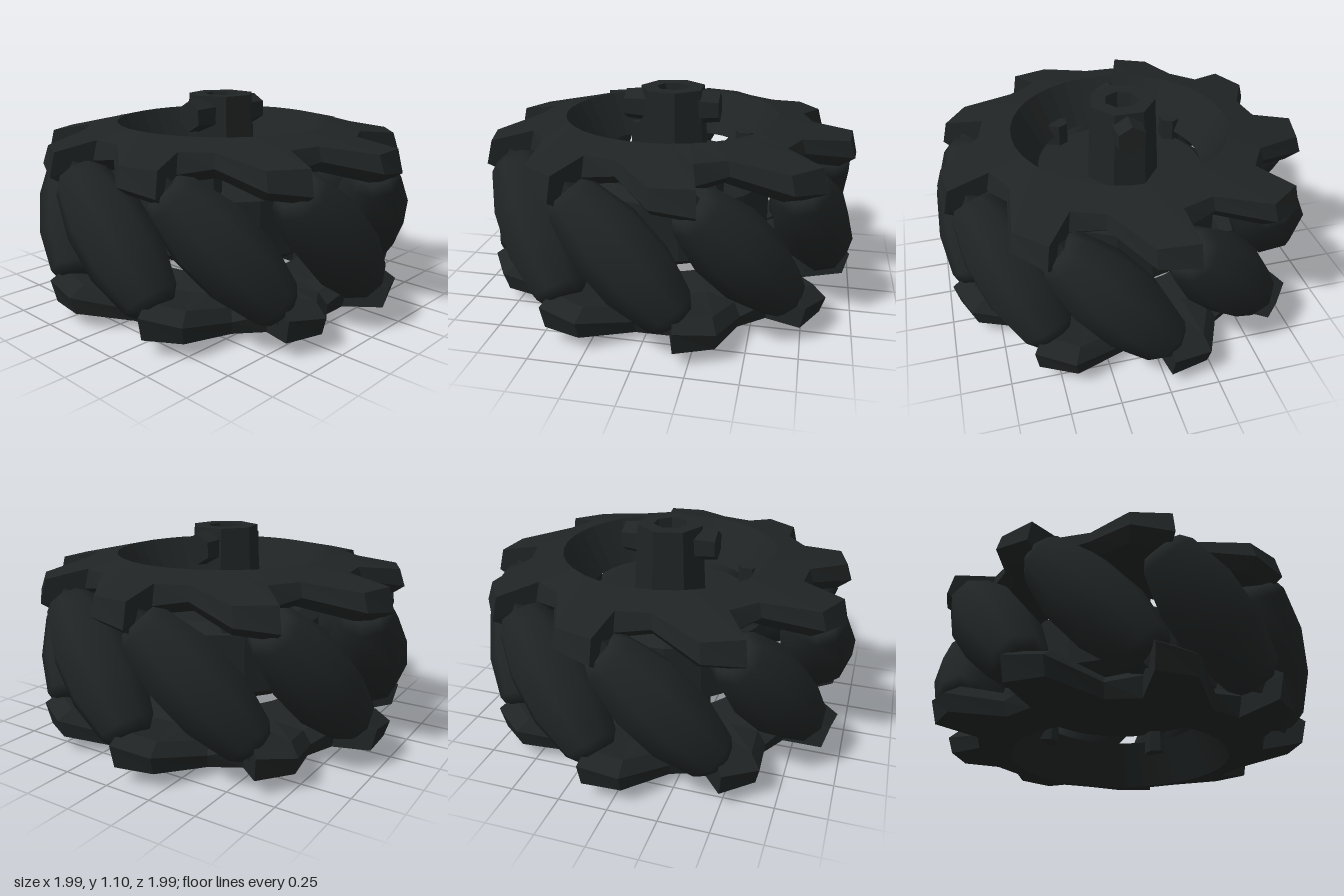
import * as THREE from 'three';

const COUNT = 9, STEP = (Math.PI * 2) / COUNT, DEG = Math.PI / 180;
const HEIGHT = 0.96;

const flat = new THREE.MeshStandardMaterial({ color: 0x202424, flatShading: true });
const smooth = new THREE.MeshStandardMaterial({ color: 0x202424 });

function part(name, geometry, material, parent) {
  const mesh = new THREE.Mesh(geometry, material);
  mesh.name = name;
  parent.add(mesh);
  return mesh;
}

function lathe(points, sides) {
  return new THREE.LatheGeometry(points.map(([r, y]) => new THREE.Vector2(r, y)), sides);
}

// Ring with a dished opening and nine swept tabs, lofted through radial cross-sections
function plateGeometry() {
  // per tab: inner angle, outer angle (degrees), outer radius, outer bottom, outer top
  const columns = [
    [-44, -43, 0.76, 0.82, 0.92],
    [-34, -29, 0.97, 0.76, 0.88],
    [-25, -17, 0.99, 0.73, 0.88],
    [-15, -16, 0.77, 0.79, 0.92],
  ];
  const pos = [], index = [];
  for (let i = 0; i < COUNT; i++) {
    for (const [inner, outer, r, low, high] of columns) {
      const a = inner * DEG + i * STEP, b = outer * DEG + i * STEP;
      const section = [
        [0.44, 0.73, a], [0.6, 0.77, a], [r * 0.92, low - 0.02, b],
        [r, low + 0.03, b], [r * 0.97, high, b], [0.57, 0.96, a],
      ];
      for (const [rad, y, t] of section) pos.push(rad * Math.sin(t), y, rad * Math.cos(t));
    }
  }
  const n = 6, total = COUNT * columns.length;
  for (let i = 0; i < total; i++) {
    for (let j = 0; j < n; j++) {
      const a = i * n + j, d = i * n + (j + 1) % n;
      const k = ((i + 1) % total) * n;
      const b = k + j, c = k + (j + 1) % n;
      index.push(a, b, d, c, d, b);
    }
  }
  const g = new THREE.BufferGeometry();
  g.setAttribute('position', new THREE.Float32BufferAttribute(pos, 3));
  g.setIndex(index);
  g.computeVertexNormals();
  return g;
}

export function createModel() {
  const model = new THREE.Group();
  model.name = 'rollerWheel';
  const wheel = new THREE.Group();
  wheel.name = 'wheel';
  wheel.rotation.y = 4 * DEG;
  model.add(wheel);

  // Upper and lower tabbed plates, the lower one turned over
  const plate = plateGeometry();
  part('upperPlate', plate, flat, wheel);
  const lower = part('lowerPlate', plate, flat, wheel);
  lower.rotation.z = Math.PI;
  lower.position.y = HEIGHT;

  // Core disc held between the plates
  part('core', lathe([
    [0, 0.28], [0.46, 0.28], [0.53, 0.33], [0.53, 0.63], [0.46, 0.68], [0, 0.68],
  ], 18), flat, wheel);

  // Barrel rollers, each with a pin reaching into the tabs
  const barrel = lathe([
    [0, -0.39], [0.1, -0.39], [0.14, -0.34], [0.195, -0.12],
    [0.195, 0.12], [0.14, 0.34], [0.1, 0.39], [0, 0.39],
  ], 8);
  const pin = new THREE.CylinderGeometry(0.065, 0.065, 0.92, 6);
  for (let i = 0; i < COUNT; i++) {
    const arm = new THREE.Group();
    arm.name = 'rollerUnit';
    arm.rotation.y = i * STEP;
    const tilt = new THREE.Group();
    tilt.name = 'rollerAxis';
    tilt.position.set(0, HEIGHT / 2, 0.805);
    tilt.rotation.z = 43 * DEG;
    part('roller', barrel, smooth, tilt);
    part('rollerPin', pin, flat, tilt);
    arm.add(tilt);
    wheel.add(arm);
  }

  // Bored hub standing above the wheel
  const hub = part('hub', lathe([
    [0, 0.26], [0.15, 0.26], [0.2, 0.66], [0.175, 1.1], [0.09, 1.1],
    [0.07, 0.95], [0, 0.95],
  ], 7), flat, model);
  hub.position.x = -0.01;

  // Set screws on the front and back of the hub
  for (const side of [1, -1]) {
    const screw = part('setScrew', new THREE.CylinderGeometry(0.08, 0.095, 0.15, 6), flat, model);
    screw.position.set(0, 1, side * 0.18);
    screw.rotation.x = side * Math.PI / 2;
  }

  // Four bolts joining the plates to the core, showing on both faces
  for (let i = 0; i < 4; i++) {
    const a = (36 + i * 90) * DEG;
    const bolt = part('bolt', new THREE.CylinderGeometry(0.06, 0.06, 0.64, 6), flat, model);
    bolt.position.set(0.46 * Math.sin(a), 0.48, 0.46 * Math.cos(a));
  }
  return model;
}
